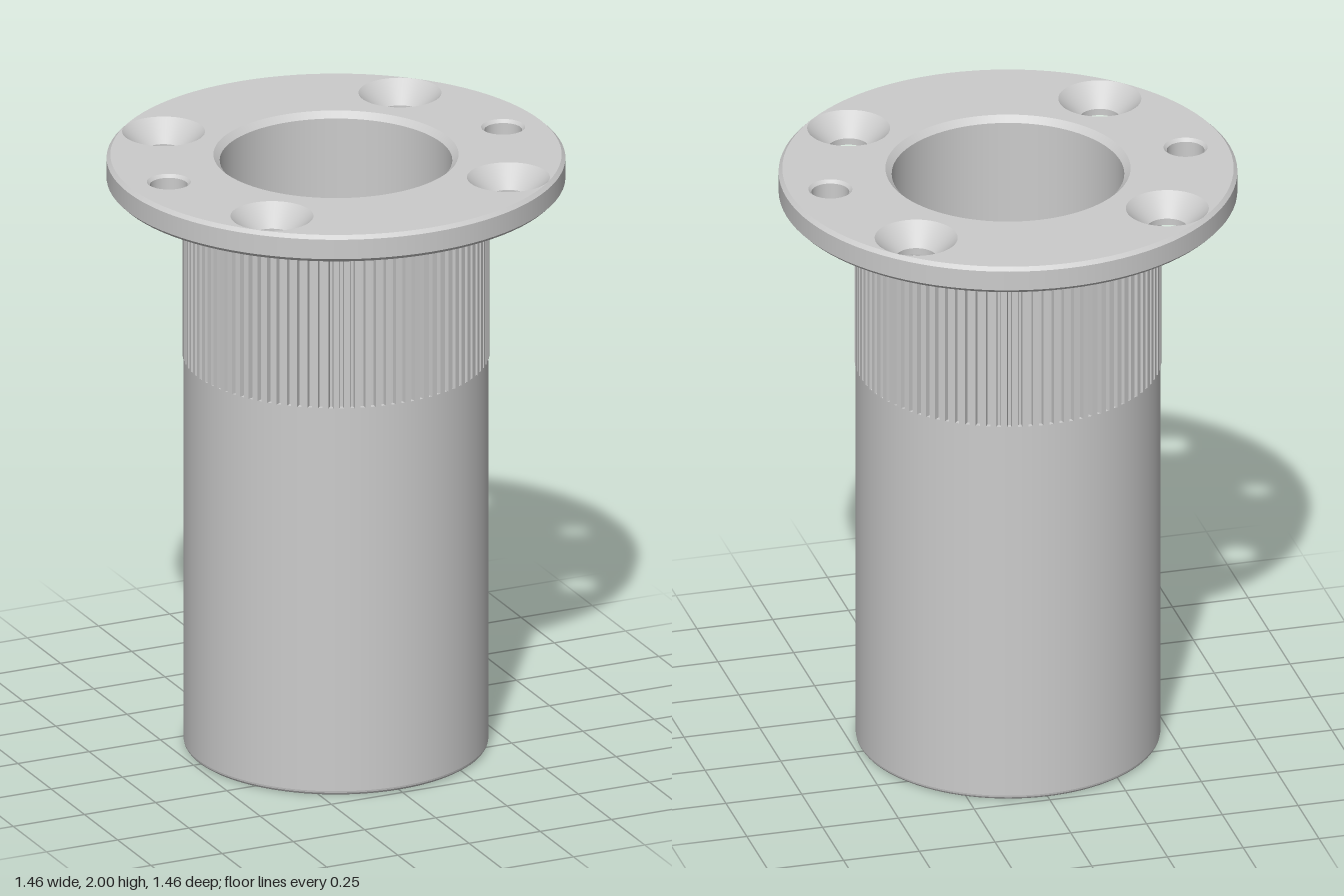
import * as THREE from 'three';
import { mergeGeometries } from 'three/addons/utils/BufferGeometryUtils.js';

const SEG = 96;
const material = new THREE.MeshStandardMaterial({ color: 0xcccccc });

// Revolve a profile with sharp edges: each straight segment is its own band.
// Going up faces outward, going down faces the axis.
function turned(profile, segments = SEG) {
  const bands = [];
  for (let i = 0; i + 1 < profile.length; i++) {
    const pair = [profile[i], profile[i + 1]].map(([r, y]) => new THREE.Vector2(r, y));
    bands.push(new THREE.LatheGeometry(pair, segments));
  }
  return mergeGeometries(bands);
}

// Flat horizontal disc with round holes [x, z, radius], facing up or down.
function perforatedDisc(radius, holes, y, up) {
  const s = up ? -1 : 1;
  const shape = new THREE.Shape().absarc(0, 0, radius, 0, Math.PI * 2, false);
  for (const [x, z, r] of holes) {
    shape.holes.push(new THREE.Path().absarc(x, s * z, r, 0, Math.PI * 2, true));
  }
  return new THREE.ShapeGeometry(shape, SEG / 2).rotateX(s * Math.PI / 2).translate(0, y, 0);
}

// Evenly spaced positions [x, z] on a bolt circle.
function boltCircle(count, radius, start) {
  return Array.from({ length: count }, (_, i) => {
    const a = start + (i / count) * Math.PI * 2;
    return [radius * Math.cos(a), radius * Math.sin(a)];
  });
}

export function createModel() {
  const group = new THREE.Group();
  const add = (name, geometry, x = 0, z = 0) => {
    const mesh = new THREE.Mesh(geometry, material);
    mesh.name = name;
    mesh.position.set(x, 0, z);
    group.add(mesh);
  };

  const TOP = 2, UNDER = 1.91, TILT = 0.007;
  const BODY = 0.485, BORE = 0.37, OUTLET = 0.165;

  // Sleeve wall, with a rounded foot and a recess behind the knurl
  const f = 0.016;
  const foot = [0, 1, 2, 3, 4].map((i) => {
    const a = (i / 4) * Math.PI / 2;
    return [BODY - f + f * Math.sin(a), f - f * Math.cos(a)];
  });
  add('sleeve', turned([...foot, [BODY, 1.32], [0.468, 1.32], [0.468, 1.875], [0.48, 1.875], [0.48, UNDER]]));

  // Bore with conical floor and chamfered outlet
  add('bore', turned([
    [0.39, TOP], [BORE, TOP - 0.02], [BORE, 0.42], [OUTLET, 0.3], [OUTLET, 0.03], [0.195, 0],
  ]));

  // Foot face with five blind screw holes
  const footHoles = boltCircle(5, 0.4, Math.PI / 2 + 0.07);
  add('footFace', perforatedDisc(BODY - f,
    [[0, 0, 0.195], ...footHoles.map(([x, z]) => [x, z, 0.058])], 0, false));
  for (const [x, z] of footHoles) {
    // Listed from the closed end down, so the wall faces its own axis
    add('footScrewHole', turned([[0, 0.23], [0.058, 0.2], [0.058, 0]], 32), x, z);
  }

  // Straight knurl: ring of trapezoid teeth
  const teeth = 90, knurl = new THREE.Shape();
  const tooth = [[0.0, 0.488], [0.56, 0.488], [0.64, 0.47], [0.92, 0.47]];
  for (let i = 0; i < teeth; i++) {
    for (const [t, r] of tooth) {
      const a = ((i + t) / teeth) * Math.PI * 2;
      const x = r * Math.cos(a), y = r * Math.sin(a);
      if (i === 0 && t === 0) knurl.moveTo(x, y);
      else knurl.lineTo(x, y);
    }
  }
  knurl.closePath();
  knurl.holes.push(new THREE.Path().absarc(0, 0, 0.44, 0, Math.PI * 2, true));
  add('knurl', new THREE.ExtrudeGeometry(knurl, { depth: 0.555, bevelEnabled: false, curveSegments: SEG / 2 })
    .rotateX(-Math.PI / 2).translate(0, 1.32, 0));

  // Flange rim and faces
  const R = 0.73, c = 0.012;
  const screws = boltCircle(4, 0.585, Math.PI / 4 + TILT);
  const pins = boltCircle(2, 0.585, TILT);
  const holes = (screwR, pinR) => [
    ...screws.map(([x, z]) => [x, z, screwR]),
    ...pins.map(([x, z]) => [x, z, pinR]),
  ];
  add('flangeRim', turned([[R - c, UNDER], [R, UNDER + c], [R, TOP - c], [R - c, TOP]]));
  add('flangeTop', perforatedDisc(R - c, [[0, 0, 0.39], ...holes(0.132, 0.07)], TOP, true));
  add('flangeUnderside', perforatedDisc(R - c, [[0, 0, 0.48], ...holes(0.064, 0.07)], UNDER, false));

  // Countersunk screw holes and chamfered pin holes
  for (const [x, z] of screws) {
    add('countersunkHole', turned([[0.132, TOP], [0.064, TOP - 0.068], [0.064, UNDER]], SEG), x, z);
  }
  for (const [x, z] of pins) {
    add('pinHole', turned([[0.07, TOP], [0.06, TOP - 0.01], [0.06, UNDER + 0.01], [0.07, UNDER]], SEG), x, z);
  }
  return group;
}
